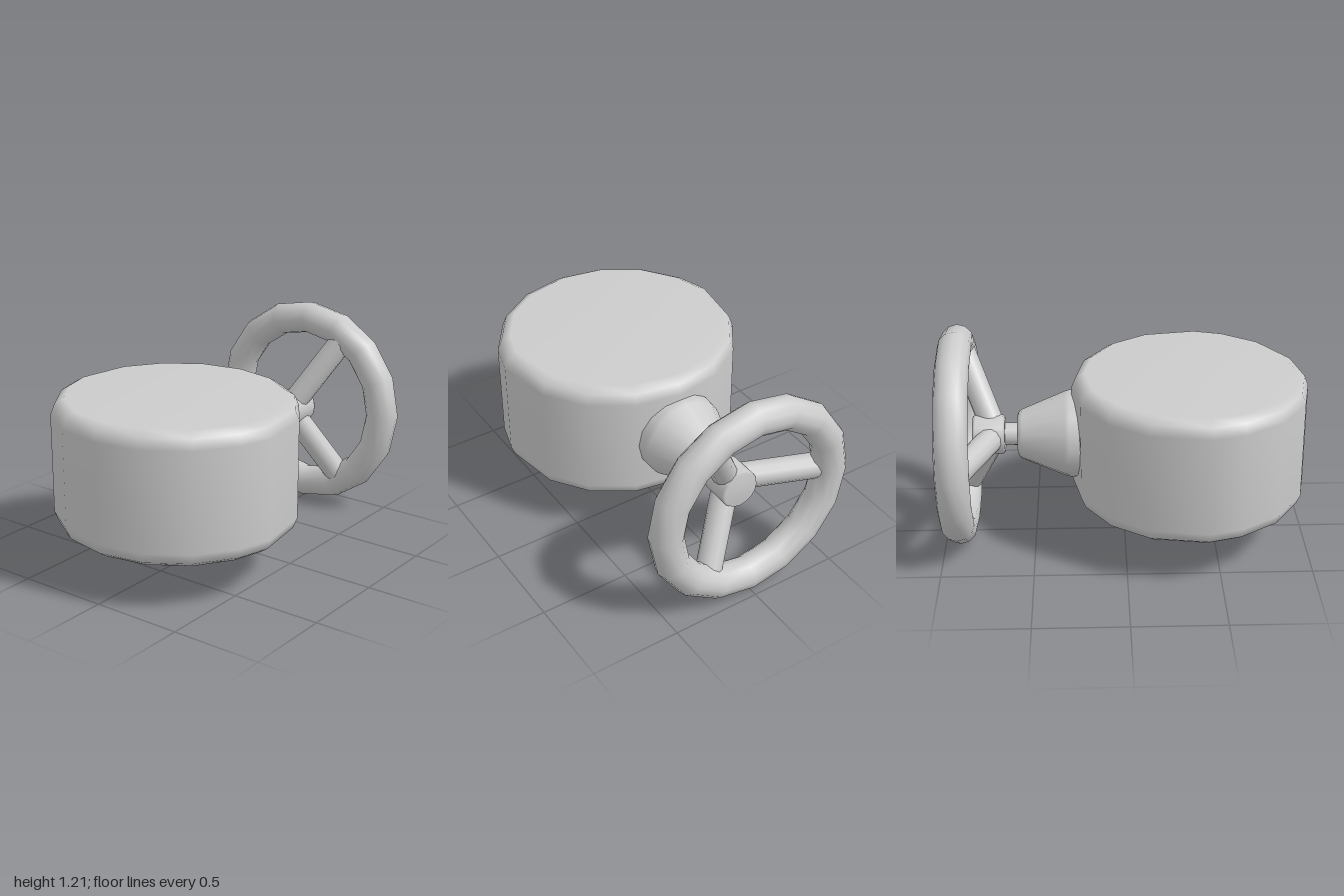
import * as THREE from 'three';

const AXIS_Y = 0.607;
const material = new THREE.MeshStandardMaterial({ color: 0xcccccc });

function add(parent, name, geometry) {
  const mesh = new THREE.Mesh(geometry, material);
  mesh.name = name;
  parent.add(mesh);
  return mesh;
}

function lathe(points, sides) {
  return new THREE.LatheGeometry(points.map(([r, h]) => new THREE.Vector2(r, h)), sides);
}

// Turned part lying along the x axis; points are [radius, x]
function turnedX(points, sides) {
  return lathe(points, sides).rotateZ(-Math.PI / 2);
}

export function createModel() {
  const group = new THREE.Group();
  group.name = 'handwheelUnit';

  // Sixteen-sided drum with rounded rims, slightly deeper than wide
  const drum = lathe([
    [0, 0.245], [0.89, 0.245], [0.965, 0.278], [1, 0.335],
    [1, 0.88], [0.965, 0.935], [0.89, 0.965], [0, 0.965],
  ], 16);
  const pos = drum.attributes.position;
  for (let i = 0; i < pos.count; i++) {
    // The foremost and rearmost corners sit a little to one side
    if (Math.abs(pos.getX(i)) < 1e-4) pos.setX(i, -0.11 * Math.abs(pos.getZ(i)));
  }
  drum.scale(0.645, 1, 0.665).translate(-0.355, 0, 0);
  add(group, 'drum', drum);

  // Everything along the horizontal shaft
  const shaft = new THREE.Group();
  shaft.name = 'shaftAssembly';
  shaft.position.y = AXIS_Y;
  group.add(shaft);

  add(shaft, 'neckCone', turnedX([
    [0.24, 0.1], [0.24, 0.3], [0.232, 0.328], [0.137, 0.56],
    [0.125, 0.578], [0.11, 0.585], [0, 0.585],
  ], 16));
  add(shaft, 'stem', turnedX([[0.062, 0.55], [0.062, 0.7]], 16));

  // Handwheel
  const wheel = new THREE.Group();
  wheel.name = 'handwheel';
  shaft.add(wheel);

  add(wheel, 'hub', turnedX([
    [0, 0.655], [0.095, 0.655], [0.108, 0.665], [0.108, 0.815],
    [0.1, 0.83], [0, 0.832],
  ], 16));
  const rim = add(wheel, 'rim',
    new THREE.TorusGeometry(0.513, 0.091, 12, 16).rotateY(Math.PI / 2));
  rim.position.x = 0.909;

  // Three spokes slanting outward from hub to rim
  const up = new THREE.Vector3(0, 1, 0);
  for (let i = 0; i < 3; i++) {
    const a = Math.PI + (i * 2 * Math.PI) / 3;
    const point = (r, x) => new THREE.Vector3(x, r * Math.sin(a), r * Math.cos(a));
    const from = point(0.02, 0.715);
    const to = point(0.49, 0.897);
    const spoke = add(wheel, 'spoke' + (i + 1),
      new THREE.CylinderGeometry(0.07, 0.07, from.distanceTo(to), 12));
    spoke.position.copy(from).lerp(to, 0.5);
    spoke.quaternion.setFromUnitVectors(up, to.sub(from).normalize());
  }
  return group;
}
